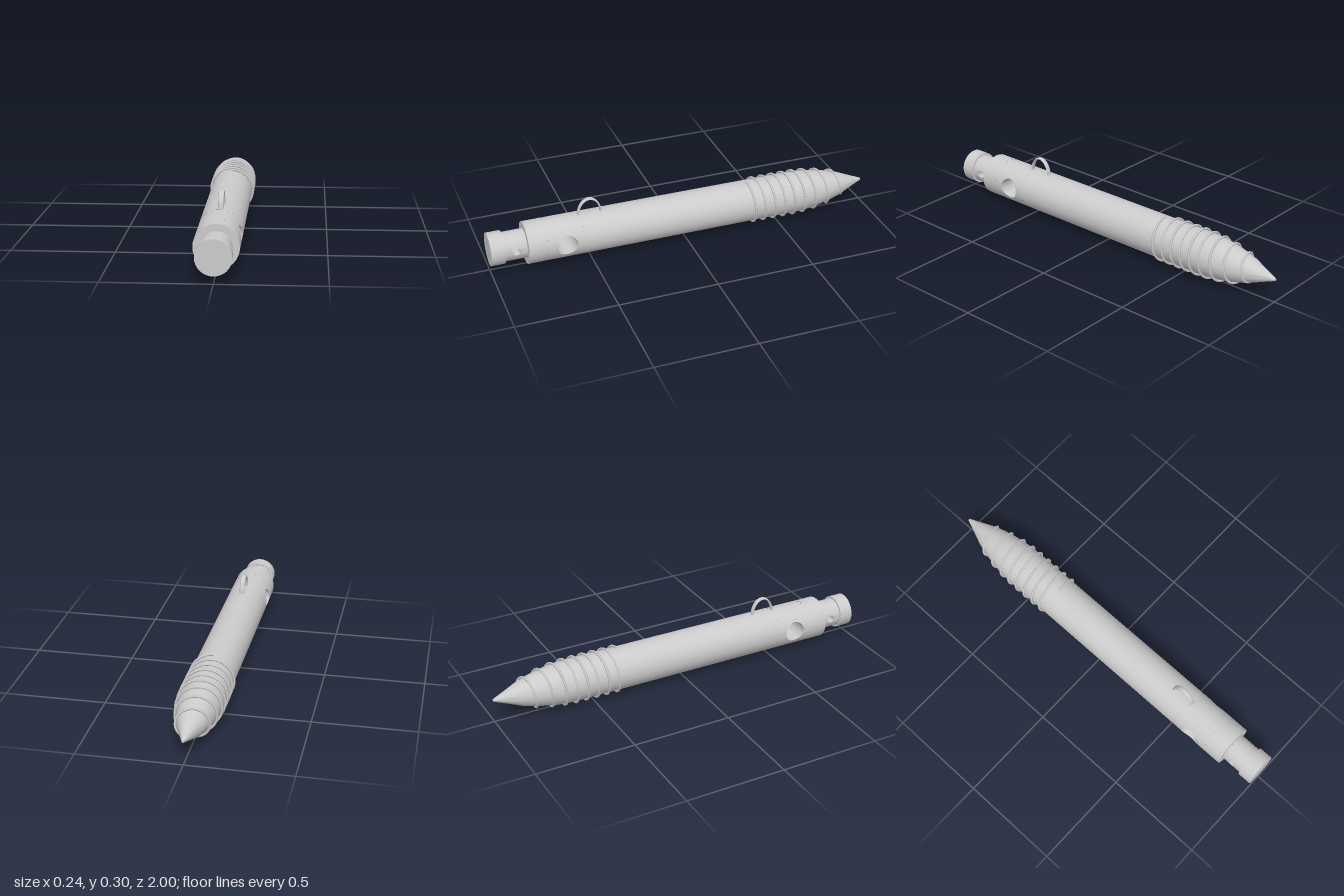
import * as THREE from 'three';
import { toCreasedNormals } from 'three/addons/utils/BufferGeometryUtils.js';

const AXIS_Y = 0.12;
const BODY_R = 0.106;
const material = new THREE.MeshStandardMaterial({ color: 0xcccccc });

function addPart(parent, name, geometry) {
  const mesh = new THREE.Mesh(geometry, material);
  mesh.name = name;
  parent.add(mesh);
  return mesh;
}

// Solid of revolution about z from [radius, z] pairs in rising z
function turned(points) {
  const lathe = new THREE.LatheGeometry(points.map(([r, z]) => new THREE.Vector2(r, z)), 32);
  lathe.rotateX(Math.PI / 2);
  return toCreasedNormals(lathe, 0.5);
}

// Surface swept by fn(u, v) with u and v in 0..1
function grid(nu, nv, fn) {
  const positions = [], index = [];
  for (let i = 0; i <= nu; i++) {
    for (let j = 0; j <= nv; j++) {
      positions.push(...fn(i / nu, j / nv));
      if (i < nu && j < nv) {
        const a = i * (nv + 1) + j, c = a + nv + 1;
        index.push(a, a + 1, c, a + 1, c + 1, c);
      }
    }
  }
  const g = new THREE.BufferGeometry();
  g.setAttribute('position', new THREE.Float32BufferAttribute(positions, 3));
  g.setIndex(index);
  return toCreasedNormals(g, 0.6);
}

// Length of round bar with a cross hole running through along x
function drilledSection(name, R, holeR, zMid, halfLength) {
  const section = new THREE.Group();
  section.name = name;
  const wall = grid(8, 64, (u, v) => {
    const c = Math.cos(v * 2 * Math.PI), s = Math.sin(v * 2 * Math.PI);
    const k = 1 / Math.max(Math.abs(c), Math.abs(s));
    const angle = THREE.MathUtils.lerp(Math.asin(holeR * s / R), Math.PI / 2 * s * k, u);
    const z = THREE.MathUtils.lerp(holeR * c, halfLength * c * k, u);
    return [R * Math.cos(angle), R * Math.sin(angle), z];
  });
  addPart(section, 'leftWall', wall);
  addPart(section, 'rightWall', wall).rotation.z = Math.PI;
  addPart(section, 'crossBore', grid(1, 64, (u, v) => {
    const t = v * 2 * Math.PI, y = holeR * Math.sin(t);
    return [(2 * u - 1) * Math.sqrt(R * R - y * y), y, holeR * Math.cos(t)];
  }));
  section.position.z = zMid;
  return section;
}

// Pointed nose: [radius, z] from tip to shank
const NOSE = [[0.006, -1], [0.034, -0.93], [0.061, -0.865], [0.077, -0.81],
  [0.09, -0.75], [0.1, -0.69], [0.105, -0.63], [BODY_R, -0.57]];

function shankRadius(z) {
  for (let i = 1; i < NOSE.length; i++) {
    const [r0, z0] = NOSE[i - 1], [r1, z1] = NOSE[i];
    if (z <= z1) return THREE.MathUtils.mapLinear(z, z0, z1, r0, r1);
  }
  return BODY_R;
}

// Thread path: even pitch on the shank, wider towards the tip
class ThreadCurve extends THREE.Curve {
  getPoint(t, target = new THREE.Vector3()) {
    const turns = t * 8.5;
    const extra = Math.max(0, turns - 5);
    const z = -0.345 - 0.055 * turns - 0.0055 * extra * extra;
    const r = shankRadius(z) + 0.006 - 0.012 * THREE.MathUtils.smoothstep(t, 0.97, 1);
    const a = turns * 2 * Math.PI;
    return target.set(r * Math.sin(a), r * Math.cos(a), z);
  }
}

export function createModel() {
  const model = new THREE.Group();
  const pin = new THREE.Group();
  pin.name = 'pin';
  pin.position.y = AXIS_Y;
  model.add(pin);

  // Shank with pointed nose, cross hole and front shoulder
  addPart(pin, 'shank', turned([[0, -1], ...NOSE, [BODY_R, 0.54]]));
  pin.add(drilledSection('shankCrossHole', BODY_R, 0.053, 0.63, 0.09));
  addPart(pin, 'shoulder', turned([[BODY_R, 0.72], [BODY_R, 0.82], [0.073, 0.82]]));

  // Drilled neck and end cap
  pin.add(drilledSection('neck', 0.073, 0.02, 0.875, 0.055));
  addPart(pin, 'endCap', turned([[0.073, 0.93], [0.083, 0.93], [0.083, 1], [0, 1]]));

  // Screw thread
  addPart(pin, 'thread', new THREE.TubeGeometry(new ThreadCurve(), 420, 0.006, 6));

  // Flat wire loop on top
  const arch = [];
  for (let i = 0; i <= 16; i++) {
    const a = Math.PI * i / 16;
    arch.push(new THREE.Vector3(0, 0.098 + 0.084 * Math.sin(a), 0.487 + 0.058 * Math.cos(a)));
  }
  const loop = addPart(pin, 'loop',
    new THREE.TubeGeometry(new THREE.CatmullRomCurve3(arch), 32, 0.005, 10));
  loop.scale.x = 2.6;
  loop.position.x = 0.003;

  return model;
}
